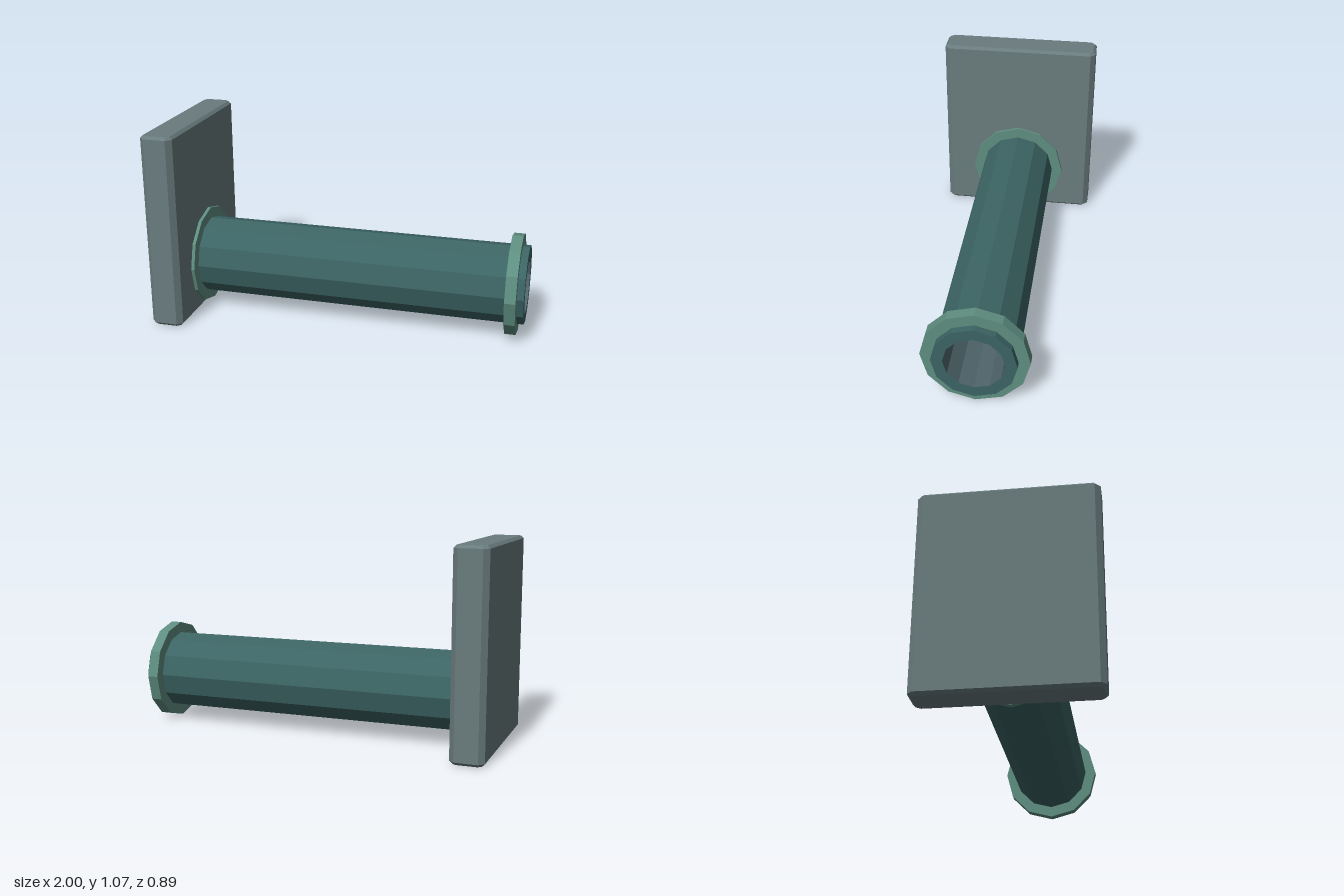
import * as THREE from 'three';

const SIDES = 12;
const AXIS_Y = 0.277; // height of the pipe's centre line

const material = (color) =>
  new THREE.MeshStandardMaterial({ color, flatShading: true });

// Turns a profile of [radius, x] points around the pipe's axis.
function turned(name, profile, mat) {
  const points = profile.map(([r, x]) => new THREE.Vector2(r, x));
  const geometry = new THREE.LatheGeometry(points, SIDES);
  geometry.rotateZ(-Math.PI / 2);
  const mesh = new THREE.Mesh(geometry, mat);
  mesh.name = name;
  mesh.position.y = AXIS_Y;
  return mesh;
}

// Flat ring around the pipe, from x0 to x1.
const ring = (name, inner, outer, x0, x1, mat) =>
  turned(name, [[inner, x0], [outer, x0], [outer, x1], [inner, x1], [inner, x0]], mat);

// Upright slab with chamfered corners and a thin bevel at top and bottom.
function wallPlate(mat) {
  const x0 = -1, x1 = -0.822, hz = 0.447, c = 0.028, bevel = 0.015;
  const y0 = 0.003, y1 = 1.075;
  const outline = new THREE.Shape([
    [x0 + c, -hz], [x1 - c, -hz], [x1, -hz + c], [x1, hz - c],
    [x1 - c, hz], [x0 + c, hz], [x0, hz - c], [x0, -hz + c],
  ].map(([x, z]) => new THREE.Vector2(x, z)));
  const geometry = new THREE.ExtrudeGeometry(outline, {
    depth: y1 - y0 - 2 * bevel,
    bevelThickness: bevel,
    bevelSize: bevel,
    bevelOffset: -bevel,
    bevelSegments: 1,
  });
  geometry.rotateX(-Math.PI / 2);
  geometry.translate(0, y0 + bevel, 0);
  const mesh = new THREE.Mesh(geometry, mat);
  mesh.name = 'wallPlate';
  return mesh;
}

export function createModel() {
  const model = new THREE.Group();
  model.name = 'wallPipe';

  const plateMat = material(0x6a7c7e);
  const pipeMat = material(0x3c6464);
  const flangeMat = material(0x5e8e80);
  const boreMat = material(0x4e646a);

  model.add(
    wallPlate(plateMat),
    // Outer wall and open rim of the pipe
    turned('pipe', [[0.215, -0.822], [0.215, 1], [0.155, 1]], pipeMat),
    // Inner wall, facing the axis
    turned('pipeBore', [[0.155, 1], [0.155, -0.822]], boreMat),
    ring('baseFlange', 0.21, 0.275, -0.83, -0.804, flangeMat),
    ring('endCollar', 0.21, 0.275, 0.904, 0.963, flangeMat),
  );
  return model;
}
